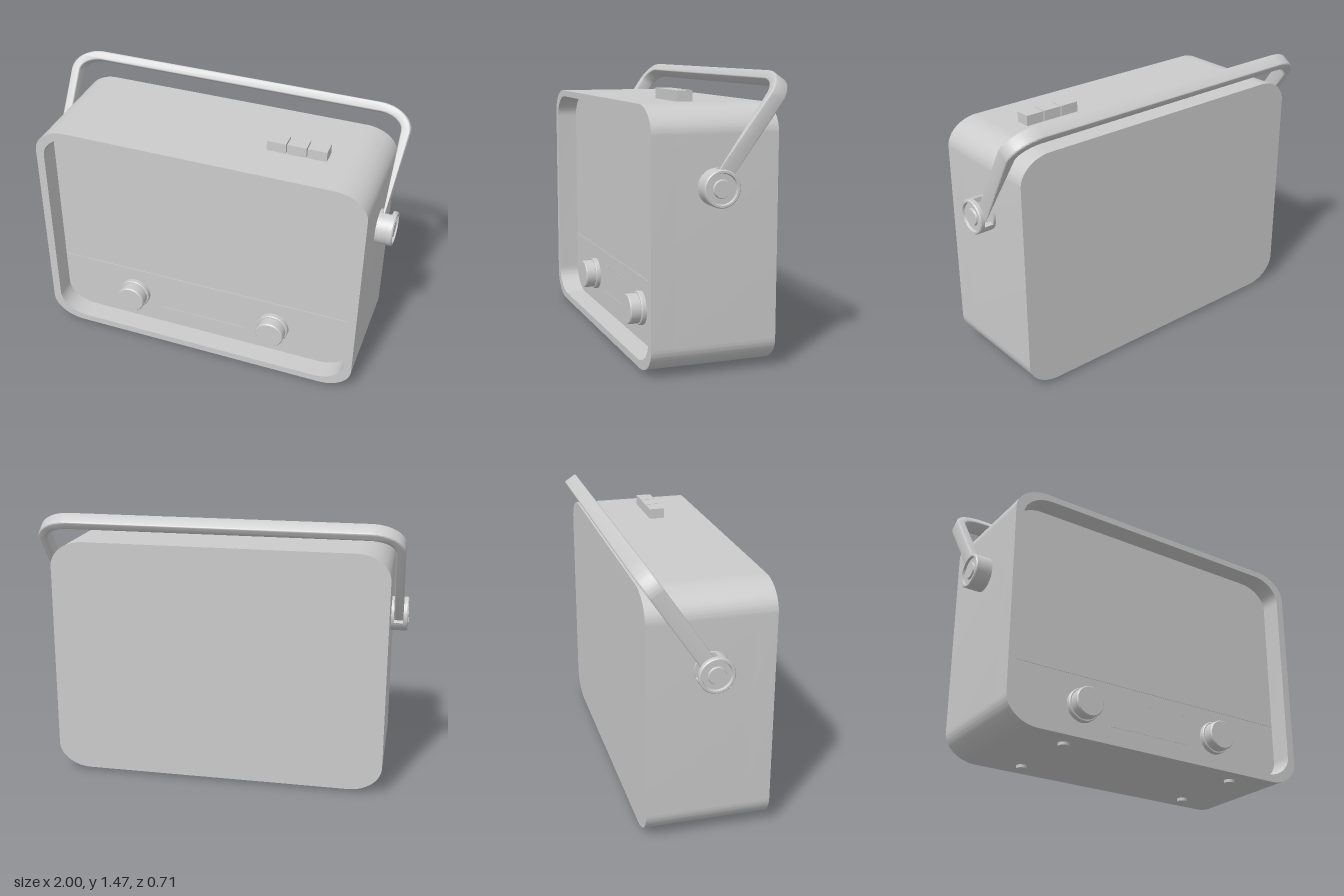
import * as THREE from 'three';
import { toCreasedNormals } from 'three/addons/utils/BufferGeometryUtils.js';

const material = new THREE.MeshStandardMaterial({ color: 0xcccccc });
const rad = THREE.MathUtils.degToRad;

function part(parent, name, geometry, x = 0, y = 0, z = 0) {
  const mesh = new THREE.Mesh(geometry, material);
  mesh.name = name;
  mesh.position.set(x, y, z);
  parent.add(mesh);
  return mesh;
}

// Rectangle centred on x = 0 with elliptical corners
function roundedOutline(path, hw, y0, y1, rx, ry) {
  const q = Math.PI / 2;
  path.moveTo(hw, y0 + ry);
  path.absellipse(hw - rx, y1 - ry, rx, ry, 0, q);
  path.absellipse(-hw + rx, y1 - ry, rx, ry, q, 2 * q);
  path.absellipse(-hw + rx, y0 + ry, rx, ry, 2 * q, 3 * q);
  path.absellipse(hw - rx, y0 + ry, rx, ry, 3 * q, 4 * q);
  path.closePath();
  return path;
}

function extrude(shape, depth, options = {}) {
  const geo = new THREE.ExtrudeGeometry(shape, { depth, bevelEnabled: false, curveSegments: 16, ...options });
  return toCreasedNormals(geo, rad(35));
}

function lathe(points) {
  const profile = points.map(([r, h]) => new THREE.Vector2(r, h));
  return toCreasedNormals(new THREE.LatheGeometry(profile, 48), rad(30));
}

export function createModel() {
  const model = new THREE.Group();
  model.name = 'portableRadio';
  const panelZ = 0.24;
  const bodyShape = () => roundedOutline(new THREE.Shape(), 0.91, 0.016, 1.32, 0.18, 0.14);

  // Cabinet: solid back with a rim standing round the recessed front
  part(model, 'cabinet', extrude(bodyShape(), panelZ + 0.298), 0, 0, -0.298);
  const rim = bodyShape();
  rim.holes.push(roundedOutline(new THREE.Path(), 0.865, 0.055, 1.285, 0.17, 0.13));
  part(model, 'frontRim', extrude(rim, 0.355 - panelZ), 0, 0, panelZ);

  // Front panel details
  part(model, 'panelDivider', new THREE.BoxGeometry(1.726, 0.007, 0.006), 0, 0.4, panelZ);
  part(model, 'tuningLine', new THREE.BoxGeometry(0.51, 0.006, 0.004), 0, 0.165, panelZ);
  for (let i = 0; i < 9; i++) {
    const dot = new THREE.CylinderGeometry(0.004, 0.004, 0.004, 12).rotateX(Math.PI / 2);
    part(model, 'scaleDot', dot, -0.22 + i * 0.055, 0.323, panelZ);
  }

  // Two stepped knobs
  const knobProfile = [[0, 0], [0.09, 0], [0.09, 0.022], [0.086, 0.027], [0.08, 0.027],
    [0.08, 0.078], [0.075, 0.084], [0, 0.084]];
  for (const s of [-1, 1]) {
    part(model, 'knob', lathe(knobProfile).rotateX(Math.PI / 2), s * 0.423, 0.235, panelZ);
  }

  // Push buttons on top
  for (let i = 0; i < 3; i++) {
    part(model, 'pushButton', new THREE.BoxGeometry(0.102, 0.065, 0.083), 0.362 + i * 0.108, 1.3425, 0.081);
  }

  // Feet
  for (const x of [-0.525, 0.525]) {
    for (const z of [-0.18, 0.24]) {
      part(model, 'foot', new THREE.CylinderGeometry(0.03, 0.028, 0.024, 32), x, 0.012, z);
    }
  }

  // Carrying handle: a flat U-shaped band tilted backwards
  const rx = 0.18, ry = 0.13, t = 0.05, top = 0.633, hw = 0.975, low = -0.04;
  const band = new THREE.Shape();
  band.moveTo(hw, low);
  band.absellipse(hw - rx, top - ry, rx, ry, 0, Math.PI / 2);
  band.absellipse(-hw + rx, top - ry, rx, ry, Math.PI / 2, Math.PI);
  band.lineTo(-hw, low);
  band.lineTo(-hw + t, low);
  band.absellipse(-hw + rx, top - ry, rx - t, ry - t, Math.PI, Math.PI / 2, true);
  band.absellipse(hw - rx, top - ry, rx - t, ry - t, Math.PI / 2, 0, true);
  band.lineTo(hw - t, low);
  band.closePath();
  const b = 0.008;
  const handleGeo = extrude(band, 0.08 - 2 * b, {
    bevelEnabled: true, bevelSize: b, bevelThickness: b, bevelOffset: -b, bevelSegments: 3,
  }).translate(0, 0, -0.04 + b);
  part(model, 'handle', handleGeo, 0, 0.93, 0.03).rotation.x = rad(-34);

  // Pivot hubs: base disc, slotted wall for the swinging arm, ringed cap
  const wall = new THREE.Shape();
  wall.absarc(0, 0, 0.092, rad(95), rad(340), false);
  wall.absarc(0, 0, 0.066, rad(340), rad(95), true);
  wall.closePath();
  const capProfile = [[0, 0], [0.092, 0], [0.092, 0.019], [0.087, 0.025], [0.077, 0.025],
    [0.073, 0.012], [0.046, 0.012], [0.042, 0.021], [0, 0.021]];
  for (const s of [-1, 1]) {
    const hub = new THREE.Group();
    hub.name = s > 0 ? 'leftPivot' : 'rightPivot';
    hub.position.set(0, 0.93, 0.03);
    model.add(hub);
    const base = new THREE.CylinderGeometry(0.092, 0.092, 0.02, 48).rotateZ(Math.PI / 2);
    part(hub, 'pivotBase', base, s * 0.915);
    part(hub, 'pivotWall', extrude(wall, 0.05).rotateY(Math.PI / 2), s * 0.95 - 0.025);
    part(hub, 'pivotCap', lathe(capProfile).rotateZ(-s * Math.PI / 2), s * 0.975);
  }

  return model;
}
